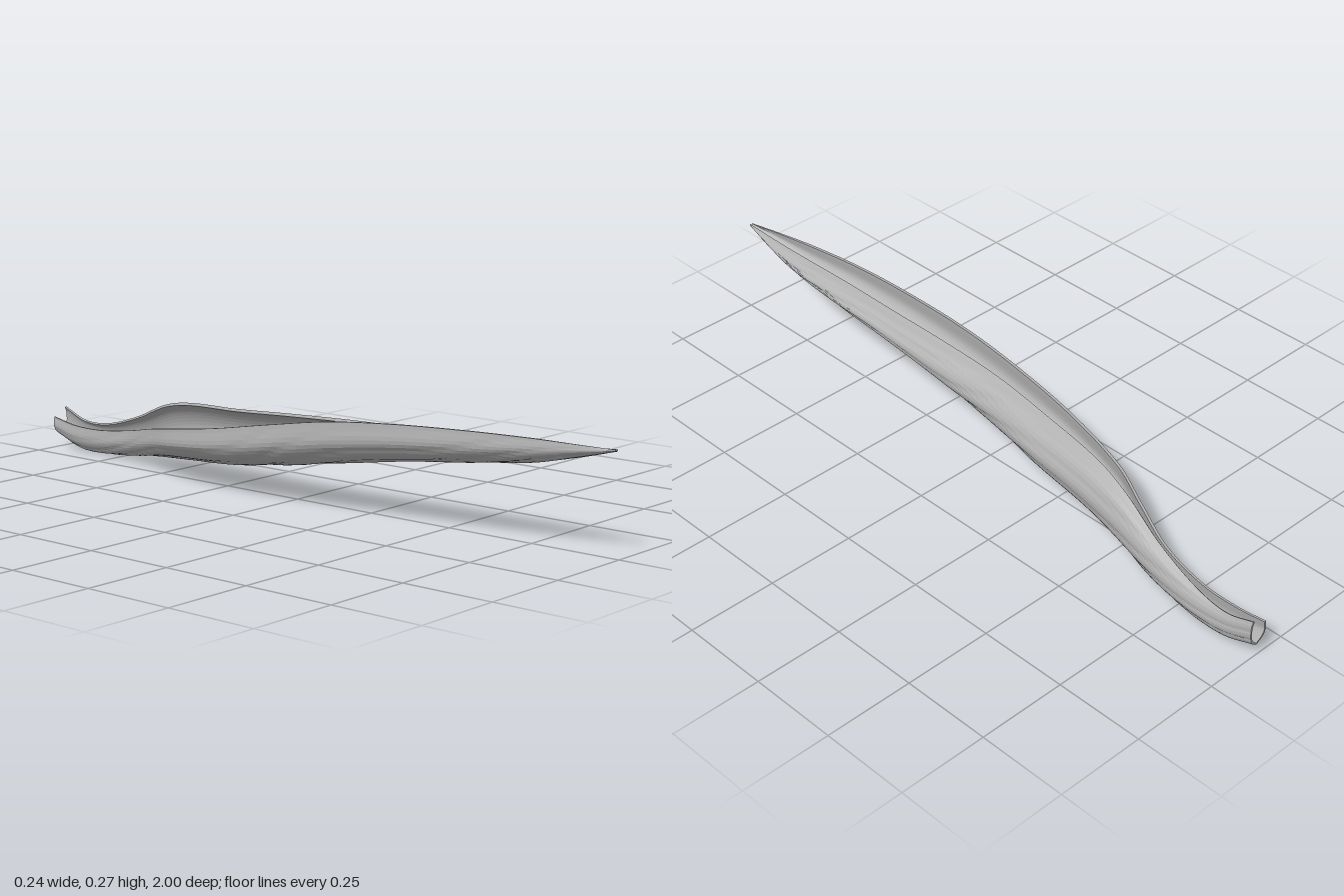
import * as THREE from 'three';

// Stations along the curled leaf, tip to stalk:
// z, left rim x, left rim y, right rim x, right rim y, widest right x, bottom y
const STATIONS = [
  [1.0, -0.025, 0.27, -0.018, 0.27, -0.016, 0.265],
  [0.9, -0.045, 0.273, -0.02, 0.265, 0.0, 0.238],
  [0.78, -0.066, 0.276, -0.022, 0.262, 0.014, 0.21],
  [0.6, -0.09, 0.275, -0.028, 0.258, 0.021, 0.186],
  [0.4, -0.105, 0.267, -0.033, 0.25, 0.022, 0.163],
  [0.2, -0.115, 0.25, -0.036, 0.245, 0.023, 0.132],
  [0.0, -0.118, 0.218, -0.034, 0.236, 0.029, 0.1],
  [-0.2, -0.108, 0.182, -0.016, 0.222, 0.052, 0.072],
  [-0.4, -0.07, 0.15, 0.012, 0.211, 0.071, 0.055],
  [-0.52, -0.02, 0.128, 0.038, 0.188, 0.085, 0.041],
  [-0.66, 0.034, 0.098, 0.07, 0.134, 0.105, 0.02],
  [-0.8, 0.056, 0.078, 0.092, 0.094, 0.116, 0.004],
  [-0.91, 0.06, 0.078, 0.106, 0.088, 0.118, 0.006],
  [-1.0, 0.064, 0.092, 0.112, 0.117, 0.119, 0.036],
];
const ROWS = 110, COLS = 36;

// Smooth interpolation of the stations at height z
function stationAt(z) {
  let i = 0;
  while (i < STATIONS.length - 2 && z < STATIONS[i + 1][0]) i++;
  const s = (k) => STATIONS[Math.min(Math.max(k, 0), STATIONS.length - 1)];
  const a = s(i), b = s(i + 1), p = s(i - 1), q = s(i + 2);
  const h = b[0] - a[0], t = (z - a[0]) / h;
  return a.map((v, k) => {
    if (k === 0) return z;
    const m0 = (b[k] - p[k]) / (b[0] - p[0]) * h, m1 = (q[k] - a[k]) / (q[0] - a[0]) * h;
    const t2 = t * t, t3 = t2 * t;
    return (2 * t3 - 3 * t2 + 1) * v + (t3 - 2 * t2 + t) * m0 + (3 * t2 - 2 * t3) * b[k] + (t3 - t2) * m1;
  });
}

// One cross-section: outer skin from left rim to right rim, then the inner skin back
function section(z) {
  const [, lx, ly, rx, ry, xr, by] = stationAt(z);
  const lerp = THREE.MathUtils.lerp;
  const curve = new THREE.CatmullRomCurve3([
    [lx, ly], [lx - 0.002, lerp(by, ly, 0.5)], [lerp(lx, xr, 0.25), lerp(by, ly, 0.13)],
    [lerp(lx, xr, 0.6), by], [lerp(lx, xr, 0.92), lerp(by, ry, 0.25)],
    [xr, lerp(by, ry, 0.55)], [lerp(rx, xr, 0.62), lerp(by, ry, 0.87)], [rx, ry],
  ].map(([x, y]) => new THREE.Vector3(x, y, z)));
  const thick = Math.min(0.008, (xr - lx) * 0.1);
  const outer = [], inner = [];
  for (let j = 0; j <= COLS; j++) {
    const u = j / COLS, p = curve.getPoint(u), d = curve.getTangent(u);
    const inward = new THREE.Vector3(-d.y, d.x, 0);
    // diagonal veins pressed into the outer skin
    const vein = Math.pow(0.5 + 0.5 * Math.sin(u * 42 + z * 17 + 2 * Math.sin(z * 9)), 3);
    outer.push(p.clone().addScaledVector(inward, thick * 0.45 * vein * Math.sin(u * Math.PI)));
    inner.unshift(p.clone().addScaledVector(inward, thick));
  }
  return [...outer, ...inner];
}

function leafGeometry() {
  const pos = [], index = [], n = 2 * (COLS + 1);
  for (let i = 0; i <= ROWS; i++) {
    for (const p of section(1 - 2 * i / ROWS)) pos.push(p.x, p.y, p.z);
  }
  for (let i = 0; i < ROWS; i++) {
    for (let j = 0; j < n; j++) {
      const a = i * n + j, b = i * n + (j + 1) % n;
      index.push(a, a + n, b, b, a + n, b + n);
    }
  }
  // close the thin edge at both ends
  for (let j = 0; j < COLS; j++) {
    const k = n - 1 - j, e = ROWS * n;
    index.push(j, j + 1, k, j + 1, k - 1, k);
    index.push(e + j, e + k, e + j + 1, e + j + 1, e + k, e + k - 1);
  }
  const g = new THREE.BufferGeometry();
  g.setAttribute('position', new THREE.Float32BufferAttribute(pos, 3));
  g.setIndex(index);
  g.computeVertexNormals();
  return g;
}

export function createModel() {
  const group = new THREE.Group();
  group.name = 'curledLeaf';
  const grey = new THREE.MeshStandardMaterial({ color: 0xb0b0b0, flatShading: true, side: THREE.DoubleSide });
  grey.name = 'leaf grey';
  const leaf = new THREE.Mesh(leafGeometry(), grey);
  leaf.name = 'leafBlade';
  group.add(leaf);
  return group;
}
